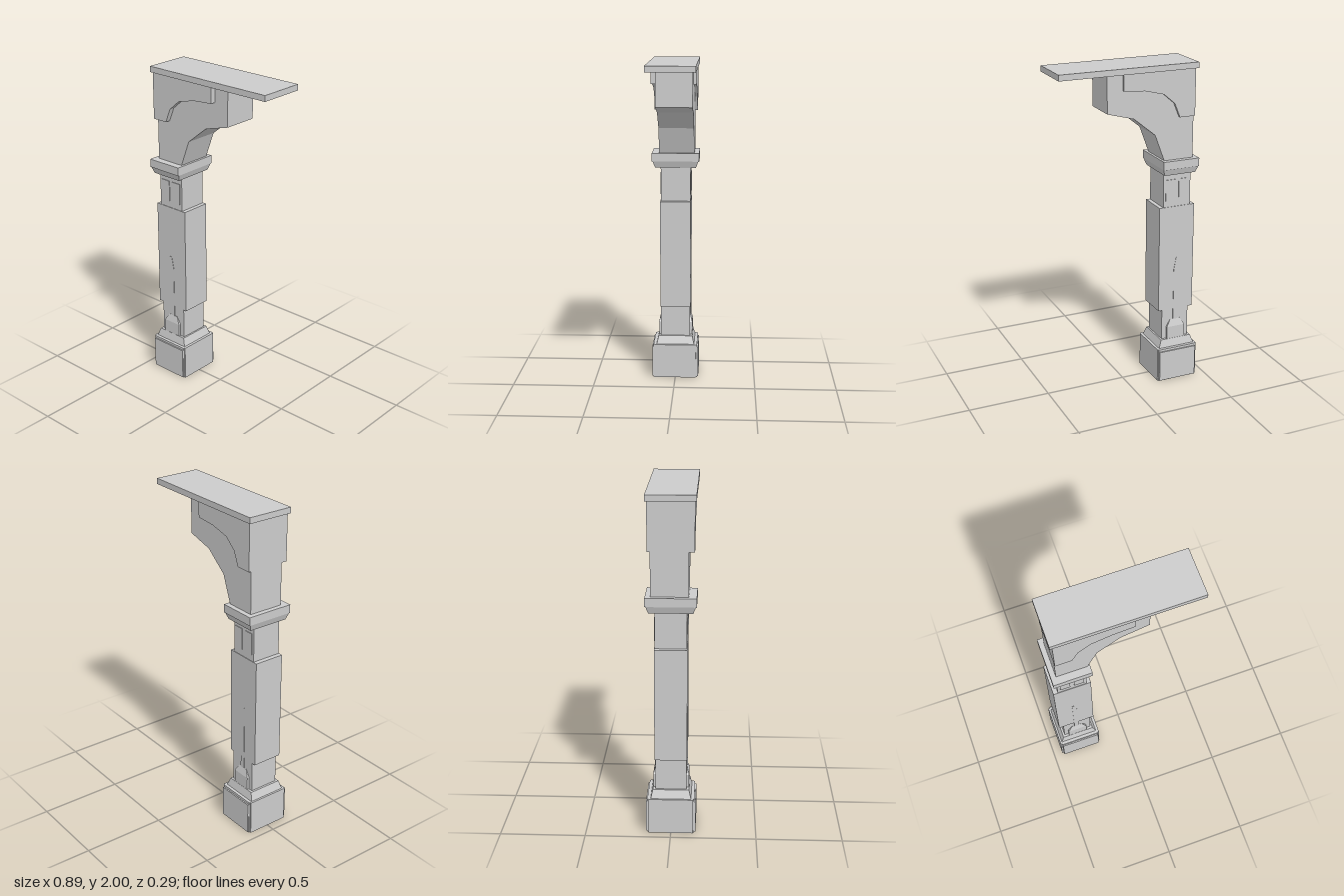
import * as THREE from 'three';

const CX = -0.315; // post axis
const material = new THREE.MeshStandardMaterial({ color: 0xcccccc, flatShading: true });

export function createModel() {
  const group = new THREE.Group();
  const add = (name, geometry) => {
    const mesh = new THREE.Mesh(geometry, material);
    mesh.name = name;
    group.add(mesh);
    return mesh;
  };
  // Box given by its limits on each axis
  const box = (name, x0, x1, y0, y1, z0, z1) =>
    add(name, new THREE.BoxGeometry(x1 - x0, y1 - y0, z1 - z0)
      .translate((x0 + x1) / 2, (y0 + y1) / 2, (z0 + z1) / 2));
  // Box whose top has other half sizes than its bottom
  const taper = (name, y0, y1, bottom, top, x = CX, z = 0) => {
    const g = new THREE.BoxGeometry(2, y1 - y0, 2);
    const p = g.attributes.position;
    for (let i = 0; i < p.count; i++) {
      const [hx, hz] = p.getY(i) > 0 ? top : bottom;
      p.setX(i, p.getX(i) * hx);
      p.setZ(i, p.getZ(i) * hz);
    }
    g.computeVertexNormals();
    return add(name, g.translate(x, (y0 + y1) / 2, z));
  };
  // Profile in x, y extruded between two z values
  const slab = (name, points, z0, z1) => {
    const shape = new THREE.Shape(points.map(([x, y]) => new THREE.Vector2(x, y)));
    return add(name, new THREE.ExtrudeGeometry(shape, { depth: z1 - z0, bevelEnabled: false }).translate(0, 0, z0));
  };

  // Plinth with thin facing panels
  box('plinth', -0.436, -0.187, 0, 0.215, -0.137, 0.137);
  box('plinthFrontBackPanels', -0.433, -0.19, 0.005, 0.2, -0.145, 0.145);
  box('plinthSidePanels', -0.445, -0.18, 0, 0.215, -0.13, 0.13);
  taper('plinthMoulding', 0.215, 0.265, [0.118, 0.118], [0.1, 0.106]);

  // Post and wider sleeve
  box('shaft', -0.402, -0.225, 0.25, 1.36, -0.091, 0.091);
  box('sleeve', -0.43, -0.2, 0.46, 1.13, -0.094, 0.094);

  // Shallow ornaments on the front and back of the post
  for (const s of [1, -1]) {
    const side = s > 0 ? 'front' : 'back';
    const z = (a, b) => (s > 0 ? [a, b] : [-b, -a]);
    box(side + 'FootBlock', -0.375, -0.255, 0.26, 0.345, ...z(0.08, 0.105));
    taper(side + 'FootBlockCap', 0.345, 0.39, [0.06, 0.025], [0.032, 0.012], CX, s * 0.08);
    slab(side + 'Stem', [[-0.33, 0.39], [-0.3, 0.39], [-0.3, 0.72], [-0.315, 0.8], [-0.33, 0.8]], ...z(0.085, 0.096));
    for (const x of [-0.355, -0.27])
      box(side + 'NeckPanel', x - 0.03, x + 0.03, 1.17, 1.3, ...z(0.085, 0.095));
  }

  // Capital
  taper('capitalMoulding', 1.34, 1.382, [0.1, 0.125], [0.115, 0.14]);
  box('capital', -0.43, -0.2, 1.38, 1.43, -0.145, 0.145);

  // Curved bracket with raised cheek panels
  slab('bracket', [[-0.4, 1.43], [-0.215, 1.43], [-0.155, 1.59], [-0.02, 1.7], [0.145, 1.745],
    [0.145, 1.966], [-0.4, 1.966]], -0.115, 0.1);
  slab('bracketCheeks', [[-0.402, 1.685], [-0.305, 1.685], [-0.27, 1.77], [-0.2, 1.83], [-0.08, 1.86],
    [0.05, 1.87], [0.05, 1.966], [-0.402, 1.966]], -0.132, 0.132);

  // Top board
  box('topBoard', -0.417, 0.442, 1.965, 2, -0.142, 0.14);
  return group;
}
